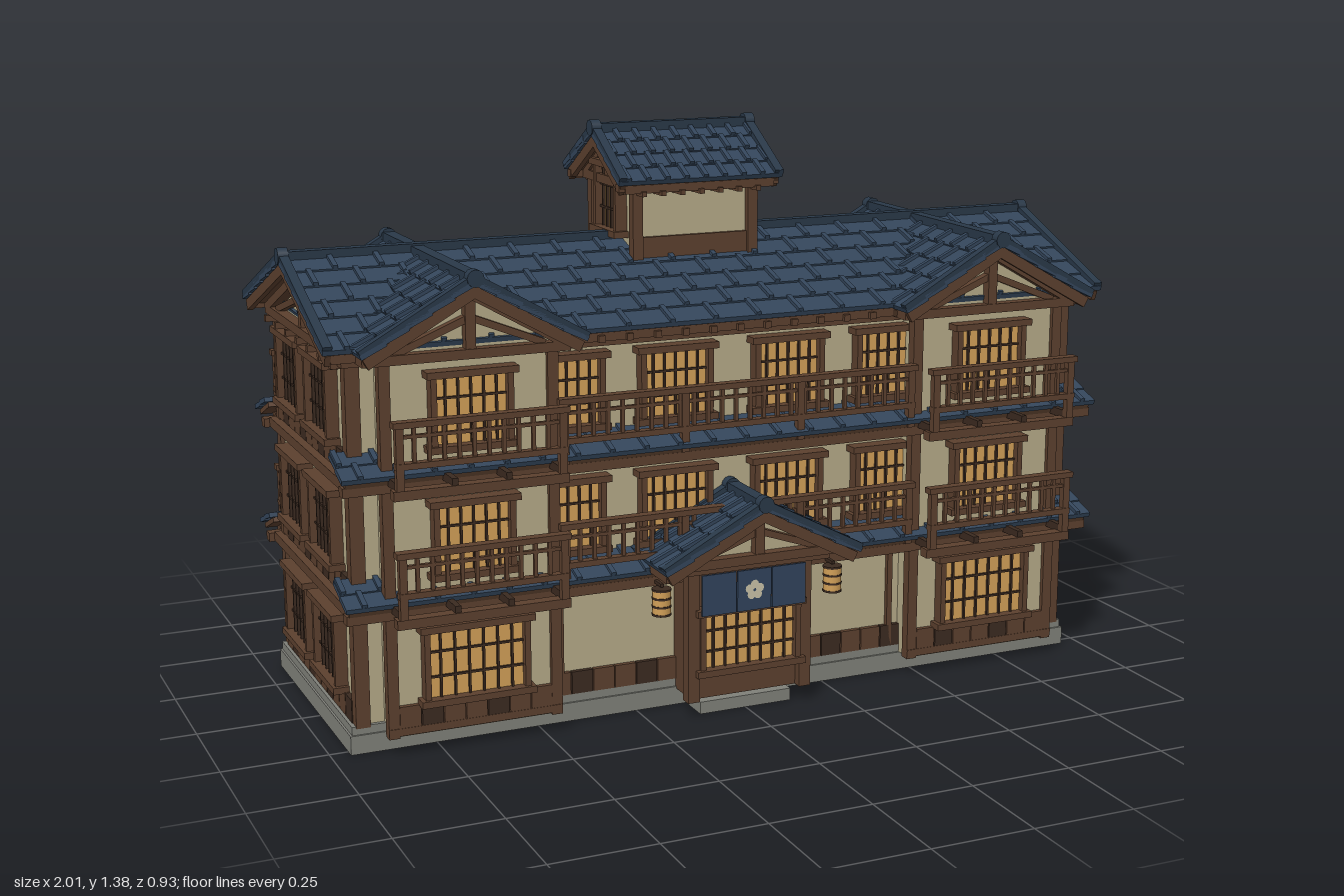
import * as THREE from 'three';

const mat = (name, color) => {
  const m = new THREE.MeshStandardMaterial({ color });
  m.name = name;
  return m;
};
const PLASTER = mat('plaster', 0xb5aa88), WOOD = mat('wood', 0x5c402e), DARK = mat('dark wood', 0x3b2a20);
const PAPER = mat('lit paper', 0xd2a058), TILE = mat('roof tile', 0x33455a), RIDGE = mat('ridge tile', 0x293848);
const STONE = mat('stone', 0x7f8079), CLOTH = mat('indigo cloth', 0x31435c), PALE = mat('pale dye', 0xc9c2a8);

function add(p, geo, m, name, x = 0, y = 0, z = 0) {
  const o = new THREE.Mesh(geo, m);
  o.name = name;
  o.position.set(x, y, z);
  p.add(o);
  return o;
}
const box = (p, m, name, w, h, d, x, y, z) => add(p, new THREE.BoxGeometry(w, h, d), m, name, x, y, z);

function group(p, name, x = 0, y = 0, z = 0, ry = 0) {
  const g = new THREE.Group();
  g.name = name;
  g.position.set(x, y, z);
  g.rotation.y = ry;
  p.add(g);
  return g;
}

// Straight timber between two points of a wall plane
function strut(p, x1, y1, x2, y2, z, t, d = 0.02) {
  const s = box(p, WOOD, 'strut', Math.hypot(x2 - x1, y2 - y1), t, d, (x1 + x2) / 2, (y1 + y2) / 2, z);
  s.rotation.z = Math.atan2(y2 - y1, x2 - x1);
}

// Latticed window on a wall; y is its lower edge, z points out of the wall
function windowUnit(p, x, y, w, h, bars = 5) {
  const g = group(p, 'window', x, y, 0);
  box(g, PAPER, 'windowPaper', w, h, 0.008, 0, h / 2, 0.008);
  for (const s of [-1, 1]) box(g, WOOD, 'windowJamb', 0.014, h, 0.03, s * w / 2, h / 2, 0.015);
  for (const yy of [0, h]) box(g, WOOD, 'windowRail', w + 0.035, 0.016, 0.038, 0, yy, 0.019);
  for (let i = 1; i <= bars; i++) box(g, DARK, 'windowBar', 0.005, h, 0.008, -w / 2 + w * i / (bars + 1), h / 2, 0.015);
  for (const f of [0.33, 0.67]) box(g, DARK, 'windowCrossbar', w, 0.005, 0.008, 0, h * f, 0.014);
}

// Band of alternating boards
function boards(p, x0, x1, y0, y1) {
  const n = Math.max(3, Math.round((x1 - x0) / 0.055)), w = (x1 - x0) / n;
  for (let i = 0; i < n; i++)
    box(p, i % 3 === 1 ? DARK : WOOD, 'board', w - 0.003, y1 - y0, 0.014, x0 + (i + 0.5) * w, (y0 + y1) / 2, 0.005);
}

// One tiled slope falling from its origin towards +z
function slope(p, L, run, drop, rows, step) {
  const g = group(p, 'roofSlope');
  g.rotation.x = Math.atan2(drop, run);
  const S = Math.hypot(run, drop), r = S / rows;
  box(g, WOOD, 'roofBoarding', L - 0.02, 0.012, S - 0.008, 0, -0.014, S / 2);
  for (let i = 0; i < rows; i++) {
    const row = group(g, 'tileRow', 0, 0, (i + 0.5) * r);
    row.rotation.x = -0.07;
    box(row, TILE, 'tiles', L, 0.012, r * 1.08, 0, 0, 0);
    for (let x = -L / 2 + (i % 2 ? step / 2 : 0.008); x < L / 2; x += step)
      box(row, TILE, 'tileRib', 0.012, 0.012, r * 1.06, x, 0.008, 0);
  }
  return g;
}

// Gable roof with its ridge along local x
function gableRoof(p, name, L, half, rise, rows, step) {
  for (const ry of [0, Math.PI]) {
    const side = group(p, name, 0, 0, 0, ry);
    const g = slope(side, L, half, rise, rows, step), S = Math.hypot(half, rise);
    for (const s of [-1, 1]) {
      box(g, WOOD, 'bargeboard', 0.014, 0.026, S, s * (L / 2 - 0.014), -0.02, S / 2);
      box(g, RIDGE, 'vergeTile', 0.022, 0.016, S, s * (L / 2 - 0.011), 0.009, S / 2);
    }
    box(side, WOOD, 'fascia', L - 0.04, 0.02, 0.014, 0, -rise - 0.016, half - 0.012);
  }
  box(p, RIDGE, 'ridge', L, 0.022, 0.03, 0, 0.008, 0);
  for (const s of [-1, 1]) {
    const c = add(p, new THREE.CylinderGeometry(0.02, 0.02, 0.025, 12), RIDGE, 'ridgeEnd', s * (L / 2 - 0.01), 0.008, 0);
    c.rotation.z = Math.PI / 2;
  }
}

// Timber triangle in front of a gable
function truss(p, half, y, rise) {
  box(p, WOOD, 'tieBeam', half * 2, 0.022, 0.03, 0, y, 0.012);
  box(p, WOOD, 'kingPost', 0.024, rise, 0.024, 0, y + rise / 2, 0.012);
  for (const s of [-1, 1]) {
    strut(p, s * half, y, 0, y + rise, 0.012, 0.022, 0.03);
    strut(p, s * half * 0.75, y + 0.01, 0, y + rise * 0.6, 0.01, 0.016);
  }
}
function gableWall(p, half, y, rise, depth) {
  const s = new THREE.Shape([[-half, y], [half, y], [0, y + rise]].map(a => new THREE.Vector2(...a)));
  add(p, new THREE.ExtrudeGeometry(s, { depth, bevelEnabled: false }), PLASTER, 'gableWall', 0, 0, -depth);
}

// Railing on brackets, standing out from a wall
function balcony(p, x0, x1, y, out) {
  const w = x1 - x0, c = (x0 + x1) / 2, g = group(p, 'balcony', c, y, out);
  box(g, WOOD, 'handrail', w + 0.03, 0.014, 0.026, 0, 0.098, 0);
  box(g, WOOD, 'middleRail', w, 0.008, 0.01, 0, 0.07, 0);
  box(g, WOOD, 'bottomRail', w + 0.02, 0.014, 0.022, 0, 0.005, 0);
  box(g, WOOD, 'edgeBeam', w + 0.03, 0.022, 0.03, 0, -0.062, -0.012);
  const n = Math.round(w / 0.036), m = Math.max(1, Math.round(w / 0.3)), k = Math.round(w / 0.12);
  for (let i = 1; i < n; i++) box(g, WOOD, 'baluster', 0.009, 0.09, 0.009, -w / 2 + w * i / n, 0.05, 0);
  for (let i = 0; i <= m; i++) box(g, WOOD, 'railPost', 0.018, 0.15, 0.018, -w / 2 + w * i / m, 0.025, 0);
  for (let i = 0; i <= k; i++) box(g, DARK, 'bracket', 0.014, 0.02, out, -w / 2 + w * i / k, -0.045, -out / 2);
}

const FLOORS = [0, 1, 2].map(i => 0.125 + 0.295 * i);
const ZC = -0.055;

function sideWall(p, name, x, ry) {
  const g = group(p, name, x, 0, ZC, ry);
  boards(g, -0.3, 0.3, 0.065, 0.12);
  for (const y of FLOORS) for (const s of [-1, 1]) windowUnit(g, s * 0.132, y, 0.185, 0.175);
  for (const y of FLOORS.slice(1)) {
    boards(g, -0.3, 0.3, y - 0.06, y - 0.008);
    box(g, WOOD, 'floorBeam', 0.66, 0.024, 0.03, 0, y - 0.077, 0.012);
  }
  truss(g, 0.33, 0.925, 0.135);
  for (let i = -3; i <= 3; i++) box(g, WOOD, 'purlinEnd', 0.016, 0.016, 0.04, i * 0.1, 0.905, 0.015);
}

function wing(p, name, x) {
  const g = group(p, name, x, 0, 0.32);
  box(g, PLASTER, 'wingWall', 0.4, 0.885, 0.1, 0, 0.4875, -0.05);
  for (const s of [-1, 1]) box(g, WOOD, 'wingPost', 0.026, 0.885, 0.026, s * 0.197, 0.4875, -0.002);
  box(g, WOOD, 'sill', 0.42, 0.018, 0.026, 0, 0.06, 0);
  boards(g, -0.185, 0.185, 0.065, 0.12);
  windowUnit(g, 0, FLOORS[0], 0.24, 0.175, 6);
  for (const y of FLOORS.slice(1)) {
    windowUnit(g, 0, y, 0.18, 0.17);
    balcony(g, -0.19, 0.19, y - 0.018, 0.085);
  }
  gableWall(g, 0.235, 0.925, 0.135, 0.55);
  truss(g, 0.235, 0.925, 0.135);
  // the small gable that surfaces behind the main ridge
  truss(group(g, 'rearGable', 0, 0, -0.55, Math.PI), 0.235, 0.925, 0.135);
  gableRoof(group(g, 'wingRoof', 0, 1.092, -0.275, Math.PI / 2), 'wingRoof', 0.68, 0.26, 0.148, 5, 0.075);
}

function entrance(p) {
  const g = group(p, 'entrance', 0, 0, 0.36);
  box(g, STONE, 'step', 0.24, 0.03, 0.1, 0, 0.015, -0.05);
  box(g, WOOD, 'porch', 0.29, 0.35, 0.11, 0, 0.215, -0.055);
  for (const s of [-1, 1]) {
    box(g, WOOD, 'porchPost', 0.03, 0.34, 0.03, s * 0.147, 0.21, 0.008);
    const l = group(g, 'lantern', s * 0.225, 0.3, 0.01);
    add(l, new THREE.CylinderGeometry(0.022, 0.022, 0.055, 12), PAPER, 'lanternPaper');
    for (const y of [-0.03, -0.01, 0.01, 0.03])
      add(l, new THREE.CylinderGeometry(0.0235, 0.0235, 0.005, 12), DARK, 'lanternHoop', 0, y, 0);
    box(l, DARK, 'lanternArm', 0.008, 0.008, 0.11, 0, 0.04, -0.05);
  }
  windowUnit(g, 0, 0.112, 0.25, 0.15, 7);
  for (const i of [-1, 0, 1]) box(g, CLOTH, 'curtain', 0.088, 0.1, 0.006, i * 0.091, 0.31, 0.042);
  // plain five-petal blossom dyed on the curtain
  for (let i = 0; i < 5; i++) {
    const a = Math.PI / 2 + i * Math.PI * 0.4;
    add(g, new THREE.CircleGeometry(0.011, 10), PALE, 'petal', 0.014 * Math.cos(a), 0.31 + 0.014 * Math.sin(a), 0.0465);
  }
  box(g, WOOD, 'lintel', 0.4, 0.024, 0.04, 0, 0.375, 0.025);
  const gable = group(g, 'porchGable', 0, 0, 0.05);
  gableWall(gable, 0.2, 0.395, 0.1, 0.14);
  truss(gable, 0.21, 0.395, 0.108);
  gableRoof(group(g, 'porchRoof', 0, 0.525, 0.003, Math.PI / 2), 'porchRoof', 0.205, 0.25, 0.132, 4, 0.05);
}

function cupola(p) {
  const g = group(p, 'cupola', 0, 0, -0.083);
  box(g, PLASTER, 'cupolaWall', 0.3, 0.25, 0.26, 0, 1.12, 0);
  for (const sx of [-1, 1]) for (const sz of [-1, 1])
    box(g, WOOD, 'cupolaPost', 0.026, 0.25, 0.026, sx * 0.152, 1.12, sz * 0.135);
  for (const ry of [0, Math.PI]) {
    const f = group(g, 'cupolaFace', 0, 0, 0, ry);
    box(f, WOOD, 'cupolaSkirt', 0.3, 0.06, 0.02, 0, 1.08, 0.13);
    box(f, WOOD, 'cupolaBeam', 0.42, 0.018, 0.022, 0, 1.235, 0.16);
    for (let i = -3; i <= 3; i++) box(f, WOOD, 'rafterEnd', 0.012, 0.012, 0.06, i * 0.05, 1.22, 0.155);
    const e = group(g, 'cupolaEnd', 0.15 * (ry ? -1 : 1), 0, 0, ry ? -Math.PI / 2 : Math.PI / 2);
    gableWall(e, 0.135, 1.24, 0.085, 0.15);
    truss(e, 0.15, 1.235, 0.098);
    windowUnit(e, 0, 1.11, 0.13, 0.165, 4);
  }
  windowUnit(group(g, 'cupolaRear', 0, 0, -0.13, Math.PI), 0, 1.12, 0.18, 0.09);
  gableRoof(group(g, 'cupolaRoof', 0, 1.355, 0), 'cupolaRoof', 0.43, 0.18, 0.108, 4, 0.05);
}

export function createModel() {
  const root = new THREE.Group();
  root.name = 'inn';
  // Foundation and main block
  box(root, STONE, 'foundation', 1.91, 0.045, 0.66, 0, 0.0225, ZC);
  box(root, STONE, 'foundationCap', 1.9, 0.02, 0.65, 0, 0.055, ZC);
  box(root, PLASTER, 'mainWall', 1.86, 0.87, 0.63, 0, 0.495, ZC);
  for (const sx of [-1, 1]) for (const z of [0.255, -0.365])
    box(root, WOOD, 'cornerPost', 0.034, 0.87, 0.034, sx * 0.923, 0.495, z);
  const attic = group(root, 'attic', 0.93, 0, ZC, Math.PI / 2);
  gableWall(attic, 0.335, 0.925, 0.14, 1.86);
  sideWall(root, 'leftWall', 0.93, Math.PI / 2);
  sideWall(root, 'rightWall', -0.93, -Math.PI / 2);

  // Front and rear walls with their balconies and pent roofs
  const front = group(root, 'frontWall', 0, 0, 0.26);
  const back = group(root, 'rearWall', 0, 0, -0.37, Math.PI);
  boards(front, -0.47, 0.47, 0.065, 0.12);
  boards(back, -0.91, 0.91, 0.065, 0.12);
  for (const x of [-0.3, 0.3]) box(front, WOOD, 'wallPost', 0.014, 0.26, 0.014, x > 0 ? 0.44 : -0.44, 0.2, 0.005);
  FLOORS.forEach((y, i) => {
    for (let k = 0; k < 6; k++) windowUnit(back, -0.75 + k * 0.3, y, 0.19, 0.175);
    if (!i) return;
    for (const x of [-0.42, -0.147, 0.147, 0.42]) windowUnit(front, x, y, 0.17, 0.17);
    balcony(front, -0.45, 0.45, y - 0.018, 0.075);
    balcony(back, -0.92, 0.92, y - 0.012, 0.07);
    for (const [wall, out] of [[front, 0.06], [back, 0.03]]) {
      slope(group(wall, 'pentRoof', 0, y - 0.012, -0.012), 1.95, 0.1, 0.042, 2, 0.085);
      box(wall, WOOD, 'floorBeam', 1.94, 0.022, 0.03, 0, y - 0.08, out);
    }
  });
  for (const wall of [front, back]) {
    box(wall, WOOD, 'wallPlate', 1.9, 0.022, 0.03, 0, 0.915, 0.01);
    for (let i = -13; i <= 13; i++) box(wall, WOOD, 'rafterEnd', 0.016, 0.016, 0.07, i * 0.07, 0.928, 0.03);
  }
  box(back, WOOD, 'eaveBeam', 1.94, 0.02, 0.02, 0, 0.932, 0.072);

  for (const s of [-1, 1]) wing(root, s > 0 ? 'leftWing' : 'rightWing', s * 0.67);
  entrance(root);
  gableRoof(group(root, 'mainRoof', 0, 1.097, ZC), 'mainRoof', 2, 0.375, 0.15, 6, 0.11);
  cupola(root);
  return root;
}
